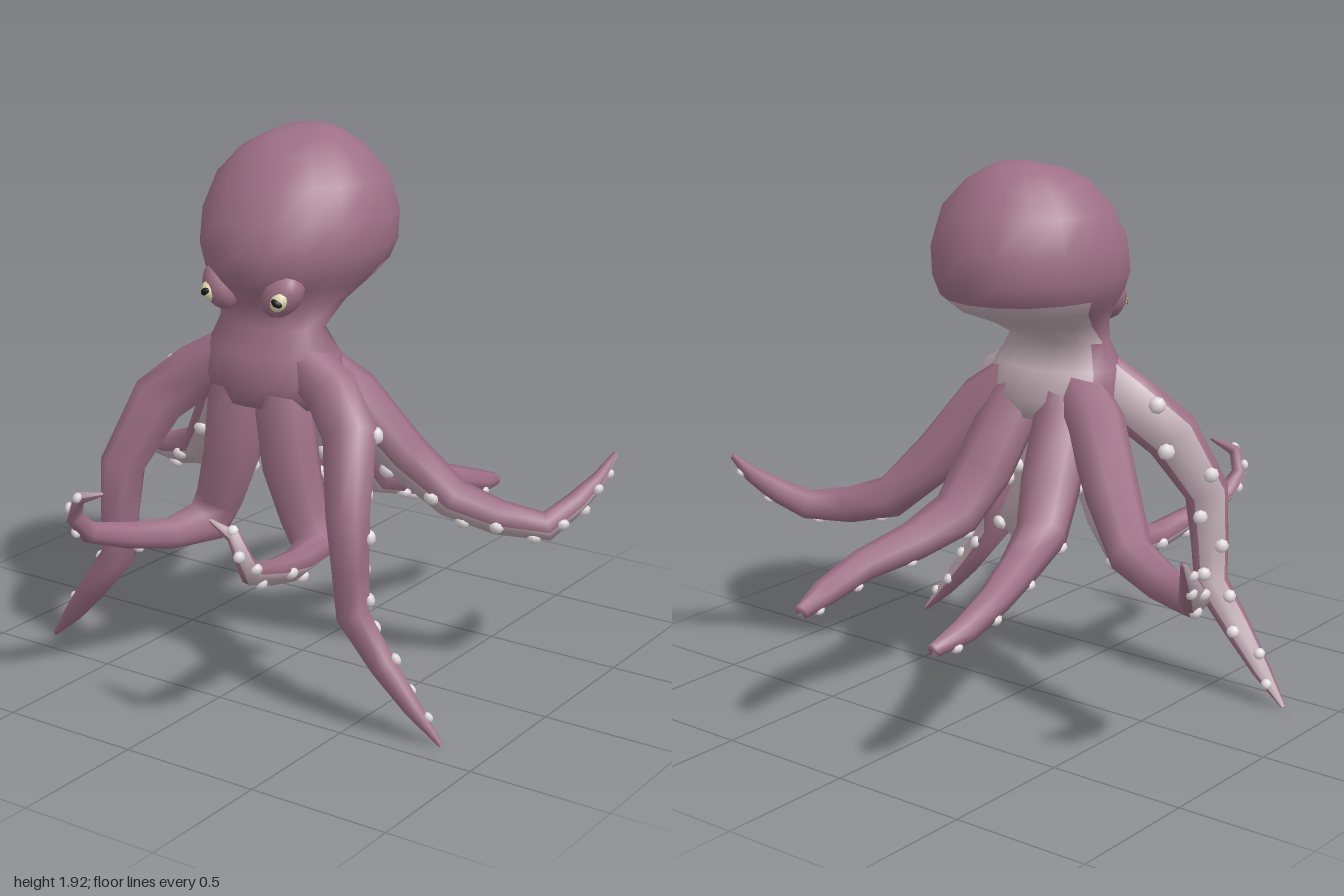
import * as THREE from 'three';

const V = (x, y, z) => new THREE.Vector3(x, y, z);
const mat = (color) => new THREE.MeshStandardMaterial({ color, roughness: 0.8 });
const skin = mat(0x9e7085), pale = mat(0xc2adb5), cup = mat(0xe2dadd);
const cream = mat(0xe6dcb4), dark = mat(0x1c181a);

// Skins closed rings and splits the faces into two colours by a rule on (row, column)
function loft(name, rings, isPale) {
  const n = rings[0].length;
  const pos = rings.flat().flatMap((p) => p.toArray());
  const upper = [], under = [];
  for (let i = 0; i < rings.length - 1; i++) {
    for (let j = 0; j < n; j++) {
      const k = (j + 1) % n;
      const a = i * n + j, b = i * n + k, c = b + n, d = a + n;
      (isPale(i, j) ? under : upper).push(a, b, c, a, c, d);
    }
  }
  const geo = new THREE.BufferGeometry();
  geo.setAttribute('position', new THREE.Float32BufferAttribute(pos, 3));
  geo.setIndex([...upper, ...under]);
  geo.computeVertexNormals();
  const group = new THREE.Group();
  group.name = name;
  for (const [part, index, material] of [['Skin', upper, skin], ['Underside', under, pale]]) {
    const g = geo.clone();
    g.setIndex(index);
    const mesh = new THREE.Mesh(g, material);
    mesh.name = name + part;
    group.add(mesh);
  }
  return group;
}

// Mantle, neck and body in one skin: y, front z, back z, half width
function makeBody() {
  const rows = [
    [1.92, -0.06, -0.06, 0], [1.915, 0.01, -0.12, 0.08], [1.89, 0.12, -0.17, 0.14], [1.85, 0.21, -0.225, 0.21],
    [1.76, 0.29, -0.3, 0.295], [1.64, 0.365, -0.35, 0.33], [1.54, 0.385, -0.345, 0.33],
    [1.47, 0.38, -0.325, 0.3], [1.42, 0.355, -0.26, 0.265], [1.36, 0.31, -0.1, 0.225], [1.28, 0.29, 0.07, 0.205],
    [1.19, 0.345, 0.0, 0.25], [1.09, 0.355, -0.035, 0.27], [1.01, 0.335, 0.0, 0.235],
    [0.97, 0.17, 0.17, 0],
  ];
  const n = 18;
  const rings = rows.map(([y, f, b, w]) => Array.from({ length: n }, (_, j) => {
    const a = (j / n) * Math.PI * 2;
    return V(Math.sin(a) * w, y, (f + b) / 2 - Math.cos(a) * (f - b) / 2);
  }));
  // Pale patch: wide under the mantle, narrower down the neck
  return loft('body', rings, (i, j) => {
    const reach = i < 10 ? 4 : 3;
    return i >= 7 && (j < reach || j >= n - reach);
  });
}

// Arms of the left side: path points [x, y, z, radius] and the first underside direction
const ARMS = {
  sideFrontArm: {
    under: V(0.3, 0.4, -0.85),
    path: [[0.08, 1.2, 0.2, 0.085], [0.28, 1.075, 0.22, 0.1], [0.405, 0.96, 0.295, 0.1], [0.475, 0.74, 0.415, 0.08],
      [0.49, 0.55, 0.42, 0.068], [0.5, 0.4, 0.42, 0.062], [0.62, 0.25, 0.42, 0.05], [0.73, 0.12, 0.41, 0.034],
      [0.83, 0.01, 0.4, 0.008]],
  },
  sideBackArm: {
    under: V(0, -0.75, 0.55),
    path: [[0.1, 1.15, 0.12, 0.09], [0.25, 1.02, 0.055, 0.105], [0.39, 0.82, -0.035, 0.095], [0.54, 0.655, -0.13, 0.078],
      [0.7, 0.605, -0.175, 0.066], [0.86, 0.59, -0.23, 0.055], [0.92, 0.66, -0.33, 0.044], [0.96, 0.73, -0.41, 0.03],
      [0.985, 0.81, -0.48, 0.01]],
  },
  backArm: {
    under: V(0, -0.3, 1),
    path: [[0.07, 1.18, 0.1, 0.07], [0.115, 1.03, 0.055, 0.105], [0.15, 0.82, -0.065, 0.105], [0.19, 0.67, -0.17, 0.09],
      [0.235, 0.605, -0.35, 0.07], [0.29, 0.56, -0.55, 0.057], [0.305, 0.505, -0.73, 0.047], [0.29, 0.475, -0.86, 0.026]],
  },
  frontArm: {
    under: V(0, 0, -1),
    path: [[0.07, 1.2, 0.25, 0.06], [0.1, 1.0, 0.25, 0.1], [0.125, 0.8, 0.245, 0.1], [0.18, 0.63, 0.245, 0.085],
      [0.235, 0.53, 0.25, 0.085], [0.265, 0.525, 0.42, 0.056], [0.3, 0.565, 0.6, 0.046], [0.335, 0.62, 0.77, 0.038],
      [0.35, 0.69, 0.83, 0.03], [0.32, 0.765, 0.84, 0.024], [0.22, 0.795, 0.83, 0.006]],
  },
};

function makeArm(name, { path, under }, side) {
  const pts = path.map(([x, y, z]) => V(x * side, y, z));
  const last = pts.length - 1;
  let u = V(under.x * side, under.y, under.z);
  // Frames carried along the path so the underside follows every bend
  const frames = pts.map((p, i) => {
    const before = p.clone().sub(pts[Math.max(i - 1, 0)]).normalize();
    const after = pts[Math.min(i + 1, last)].clone().sub(p).normalize();
    const t = before.add(after).normalize();
    u = u.clone().addScaledVector(t, -u.dot(t)).normalize();
    return { p, u, s: t.clone().cross(u), r: path[i][3] };
  });
  // Cross-section with a flattened underside around angle zero
  const angles = [-45, 0, 45, 85, 125, 180, 235, 275].map(THREE.MathUtils.degToRad);
  const ring = ({ p, u, s, r }, k = 1) => angles.map((a, j) => {
    const q = r * k * (j === 1 ? 0.75 : 1);
    return p.clone().addScaledVector(u, Math.cos(a) * q).addScaledVector(s, Math.sin(a) * q);
  });
  const rings = frames.map((f) => ring(f));
  rings.push(ring(frames[last], 0));
  const arm = loft(name, rings, (i, j) => j < 2);

  // Suckers in two staggered rows
  const count = 10;
  for (let k = 0; k < count; k++) {
    const f = 1.4 + (k / count) * (last - 1.4);
    const i = Math.floor(f), m = f - i;
    const a = frames[i], b = frames[i + 1];
    const r = THREE.MathUtils.lerp(a.r, b.r, m);
    const un = a.u.clone().lerp(b.u, m).normalize();
    const sd = a.s.clone().lerp(b.s, m).normalize();
    const sucker = new THREE.Mesh(new THREE.SphereGeometry(1, 8, 6), cup);
    sucker.name = 'sucker';
    sucker.position.copy(a.p).lerp(b.p, m).addScaledVector(un, r * 0.74)
      .addScaledVector(sd, r * 0.5 * (k % 2 ? 1 : -1));
    sucker.quaternion.setFromUnitVectors(V(0, 1, 0), un);
    const size = 0.016 + r * 0.15;
    sucker.scale.set(size, size * 0.75, size);
    arm.add(sucker);
  }
  return arm;
}

// Eye with a leaning lid, ball and slanted pupil
function makeEye(side) {
  const eye = new THREE.Group();
  eye.name = side > 0 ? 'leftEye' : 'rightEye';
  const ball = (name, material, position, scale, tilt) => {
    const mesh = new THREE.Mesh(new THREE.SphereGeometry(1, 12, 8), material);
    mesh.name = name;
    mesh.position.set(position[0] * side, position[1], position[2]);
    mesh.scale.set(...scale);
    mesh.rotation.set(0, 0.45 * side, tilt * side);
    eye.add(mesh);
  };
  ball('eyelid', skin, [0.125, 1.41, 0.295], [0.066, 0.088, 0.065], -0.65);
  ball('eyeball', cream, [0.14, 1.396, 0.335], [0.03, 0.038, 0.034], -0.5);
  ball('pupil', dark, [0.146, 1.394, 0.357], [0.021, 0.014, 0.017], -0.5);
  return eye;
}

export function createModel() {
  const model = new THREE.Group();
  model.name = 'octopus';
  model.add(makeBody());
  for (const side of [1, -1]) {
    model.add(makeEye(side));
    for (const [name, arm] of Object.entries(ARMS)) {
      model.add(makeArm((side > 0 ? 'left ' : 'right ') + name, arm, side));
    }
  }
  return model;
}
